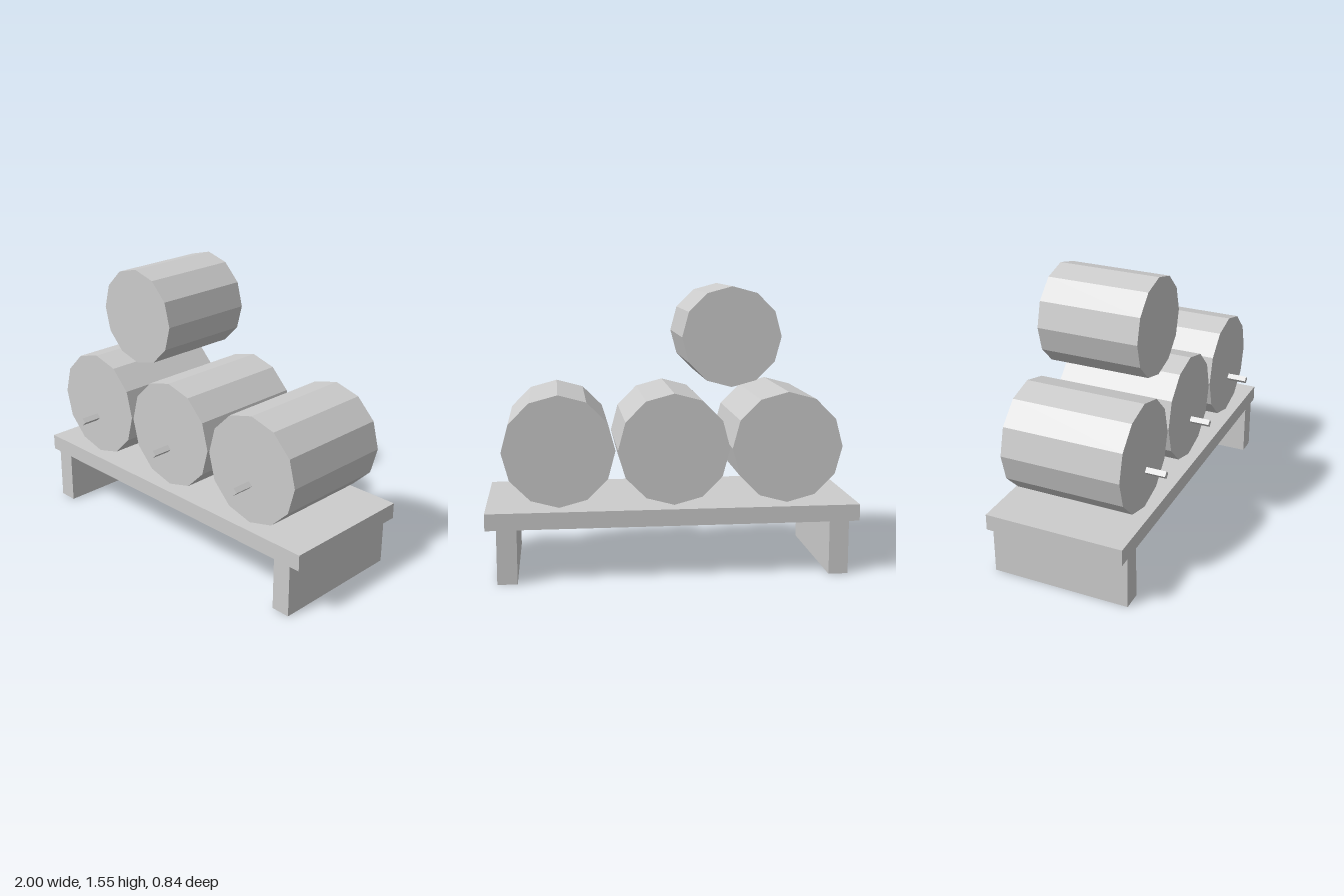
import * as THREE from 'three';

export function createModel() {
  const model = new THREE.Group();
  const grey = new THREE.MeshStandardMaterial({ color: 0xcccccc, flatShading: true });
  grey.name = 'plain grey';

  function add(name, geometry, x, y, z) {
    const mesh = new THREE.Mesh(geometry, grey);
    mesh.name = name;
    mesh.position.set(x, y, z);
    model.add(mesh);
  }

  // Prism lying along z, from zBack to zFront
  function addLog(name, radius, sides, x, y, zBack, zFront) {
    const geometry = new THREE.CylinderGeometry(radius, radius, zFront - zBack, sides);
    geometry.rotateX(Math.PI / 2);
    add(name, geometry, x, y, (zBack + zFront) / 2);
  }

  // Rack: a plank on two full-depth legs
  const depth = 0.775, rackZ = -0.0335;
  add('plank', new THREE.BoxGeometry(2, 0.09, depth), 0, 0.337, rackZ);
  for (const side of [-1, 1]) {
    add(side > 0 ? 'leftLeg' : 'rightLeg',
      new THREE.BoxGeometry(0.106, 0.292, depth), side * 0.888, 0.146, rackZ);
  }

  // Row of barrels, each with a small square tap in front
  for (const x of [-0.611, 0, 0.611]) {
    addLog('barrel', 0.299, 12, x, 0.692, -0.366, 0.299);
    addLog('tap', 0.0215, 4, x, 0.613, 0.31, 0.421);
  }

  // Smaller barrel on top
  addLog('topBarrel', 0.266, 12, -0.312, 1.28, -0.31, 0.244);

  return model;
}
